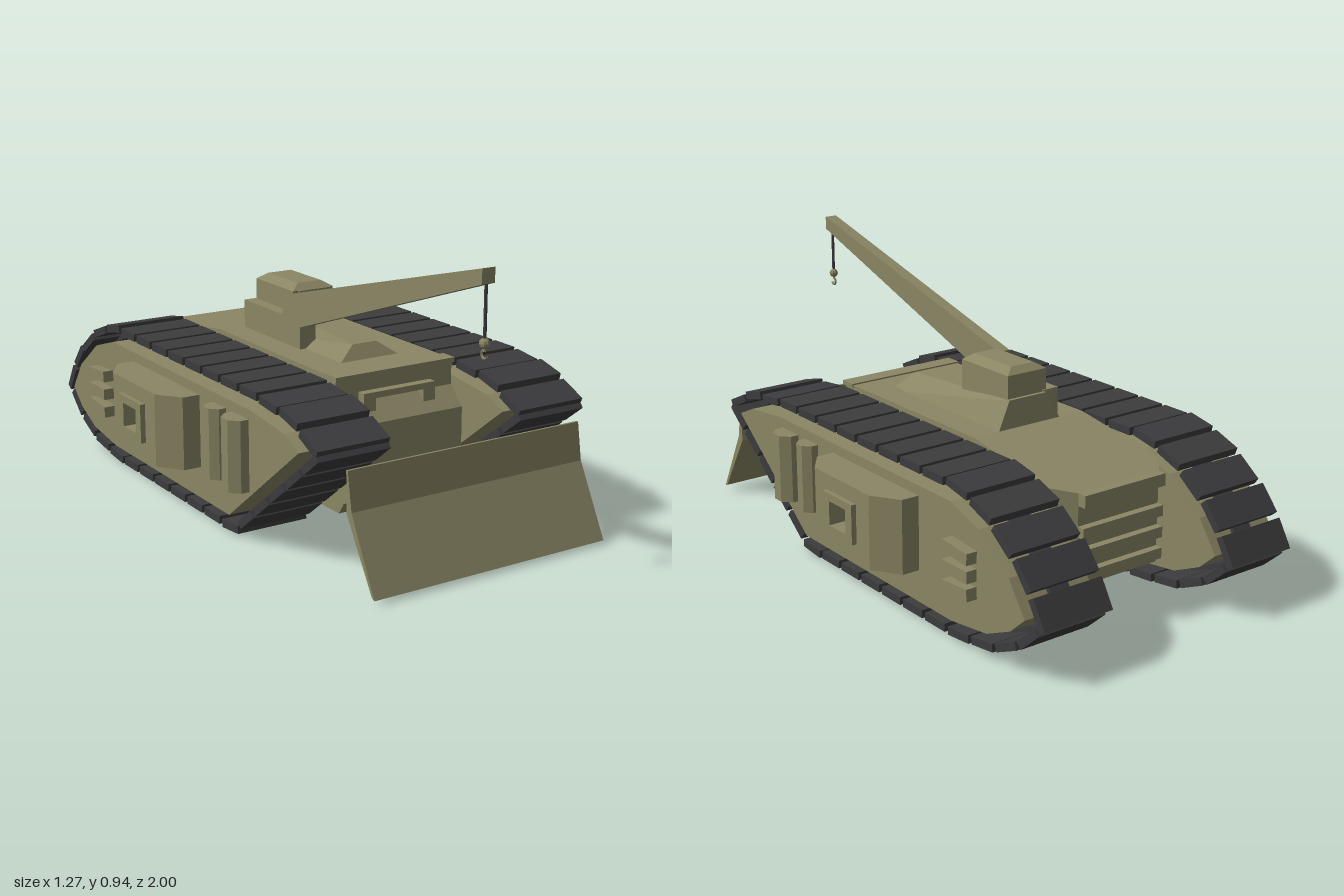
import * as THREE from 'three';

const material = (color) => new THREE.MeshStandardMaterial({ color, flatShading: true, side: THREE.DoubleSide });

export function createModel() {
  const root = new THREE.Group();
  const tan = material(0x8a8664), dark = material(0x3c3c3e);

  const add = (name, geometry, mat = tan, parent = root) => {
    const mesh = new THREE.Mesh(geometry, mat);
    mesh.name = name;
    parent.add(mesh);
    return mesh;
  };
  const shapeOf = (pts) => new THREE.Shape(pts.map((p) => new THREE.Vector2(...p)));
  const extrude = (shape, depth) => new THREE.ExtrudeGeometry(shape, { depth, bevelEnabled: false });
  // (z, y) profile extruded across x
  const across = (pts, xa, xb, hole) => {
    const shape = shapeOf(pts);
    if (hole) shape.holes.push(shapeOf(hole));
    return extrude(shape, Math.abs(xb - xa)).rotateY(-Math.PI / 2).translate(Math.max(xa, xb), 0, 0);
  };
  // (x, z) outline extruded upward
  const upward = (pts, y0, y1) =>
    extrude(shapeOf(pts.map(([x, z]) => [x, -z])), y1 - y0).rotateX(-Math.PI / 2).translate(0, y0, 0);
  const rect = (a0, b0, a1, b1) => [[a0, b0], [a1, b0], [a1, b1], [a0, b1]];
  const box = (x0, x1, y0, y1, z0, z1) =>
    new THREE.BoxGeometry(Math.abs(x1 - x0), y1 - y0, z1 - z0).translate((x0 + x1) / 2, (y0 + y1) / 2, (z0 + z1) / 2);
  // box whose eight corners are moved by a rule
  const warped = (rule) => {
    const g = new THREE.BoxGeometry(2, 2, 2), p = g.attributes.position;
    for (let i = 0; i < p.count; i++) p.setXYZ(i, ...rule(p.getX(i), p.getY(i), p.getZ(i)));
    return g;
  };
  // inward mitred offset of a closed polygon
  const inset = (pts, d) => pts.map((p, i) => {
    const n = pts.length;
    const a = new THREE.Vector2(...pts[(i + n - 1) % n]), b = new THREE.Vector2(...p), c = new THREE.Vector2(...pts[(i + 1) % n]);
    const u = b.clone().sub(a).normalize(), v = c.clone().sub(b).normalize();
    const n1 = new THREE.Vector2(u.y, -u.x), n2 = new THREE.Vector2(v.y, -v.x);
    const m = n1.clone().add(n2).multiplyScalar(d / (1 + n1.dot(n2)));
    return [b.x + m.x, b.y + m.y];
  });

  // central hull
  add('hull', across([[0.41, 0.505], [0.41, 0.42], [0.47, 0.36], [0.47, 0.13], [0.43, 0.075], [-0.6, 0.075],
    [-0.68, 0.11], [-0.68, 0.45], [-0.32, 0.505]], -0.22, 0.22));
  add('roofLip', box(-0.225, 0.225, 0.495, 0.51, 0.36, 0.42));
  add('hullRear', warped((x, y, z) => z > 0
    ? [x * 0.22, y > 0 ? 0.45 : 0.11, -0.68]
    : [x * 0.16, y > 0 ? 0.44 : 0.14, -0.745]));
  add('rearLip', box(-0.16, 0.16, 0.4, 0.44, -0.775, -0.73));
  for (const y of [0.16, 0.23, 0.3]) add('rearLedge', box(-0.16, 0.16, y, y + 0.035, -0.77, -0.73));

  // driver's vision frame
  const frame = shapeOf(rect(-0.135, 0.35, 0.135, 0.45));
  frame.holes.push(shapeOf(rect(-0.09, 0.36, 0.09, 0.43)));
  add('visionFrame', extrude(frame, 0.035).translate(0, 0, 0.405));

  // casemate and turret
  add('casemate', warped((x, y, z) => y < 0
    ? [x * 0.13, 0.49, z > 0 ? 0.28 : -0.32]
    : [x * (z > 0 ? 0.045 : 0.075), z > 0 ? 0.55 : 0.595, z > 0 ? 0.24 : -0.31]));
  add('turret', box(-0.085, 0.07, 0.57, 0.67, -0.295, -0.055));
  add('turretRoof', warped((x, y, z) => y < 0
    ? [-0.0075 + x * 0.0775, 0.67, -0.175 + z * 0.12]
    : [-0.0075 + x * 0.045, 0.69, -0.175 + z * 0.095]));
  const slot = shapeOf(rect(-0.065, 0.62, 0.055, 0.67));
  slot.holes.push(shapeOf(rect(-0.055, 0.628, 0.045, 0.662)));
  add('turretSlot', extrude(slot, 0.008).translate(0, 0, -0.057));

  // crane
  const crane = new THREE.Group();
  crane.name = 'crane';
  root.add(crane);
  add('boom', across([[1, 0.9], [1, 0.945], [-0.05, 0.665], [-0.05, 0.575], [0.05, 0.575]], -0.13, -0.085), tan, crane);
  add('craneMount', box(-0.13, -0.07, 0.5, 0.6, -0.3, 0.06), tan, crane);
  add('cable', new THREE.CylinderGeometry(0.005, 0.005, 0.18, 6).translate(-0.1075, 0.82, 0.99), dark, crane);
  add('hookBlock', new THREE.SphereGeometry(0.016, 8, 6).translate(-0.1075, 0.73, 0.99), tan, crane);
  add('hook', new THREE.TorusGeometry(0.012, 0.004, 6, 10, Math.PI * 1.4)
    .rotateZ(-Math.PI * 0.9).rotateY(Math.PI / 2).translate(-0.1075, 0.698, 0.99), tan, crane);
  add('hookShank', new THREE.CylinderGeometry(0.004, 0.004, 0.02, 6).translate(-0.1075, 0.716, 0.99), tan, crane);

  // dozer blade
  add('blade', across([[0.79, 0.36], [0.81, 0.24], [0.928, 0.015], [0.915, 0.02], [0.785, 0.23], [0.782, 0.36]], -0.425, 0.425));

  // track centre line, (z, y), clockwise from the front tip
  const path = [[0.735, 0.395], [0.25, 0.02], [-0.58, 0.02], [-0.76, 0.045], [-0.88, 0.1], [-0.98, 0.19],
    [-0.88, 0.33], [-0.73, 0.44], [-0.58, 0.487], [0.38, 0.487], [0.58, 0.465]];
  const inward = (d) => {
    const t = inset(path, d);
    return t[9][1] < path[9][1] ? t : inset(path, -d);
  };
  const loop = new THREE.CurvePath();
  path.forEach((p, i) => loop.add(new THREE.LineCurve(new THREE.Vector2(...p), new THREE.Vector2(...path[(i + 1) % path.length]))));
  const padCount = Math.round(loop.getLength() / 0.118);
  const padGeometry = new THREE.BoxGeometry(0.25, 0.026, 0.1);

  for (const s of [-1, 1]) {
    const side = new THREE.Group();
    side.name = s > 0 ? 'leftSide' : 'rightSide';
    root.add(side);

    add('trackFrame', across(inward(0.045), s * 0.24, s * 0.5), tan, side);
    add('trackBand', across(inward(0.022), s * 0.33, s * 0.4, inward(0.037)), dark, side);

    for (let i = 0; i < padCount; i++) {
      const u = (i + 0.5) / padCount, h = 0.35 / padCount;
      const a = loop.getPointAt(u - h), b = loop.getPointAt(u + h), c = loop.getPointAt(u);
      const pad = add('trackPad', padGeometry, dark, side);
      pad.position.set(s * 0.365, c.y, c.x);
      pad.rotation.x = -Math.atan2(b.y - a.y, b.x - a.x);
    }

    // sponson, with a window notch in the middle layer
    const back = [[0.49, -0.415], [0.56, -0.415], [0.618, -0.325]];
    const front = [[0.618, -0.025], [0.56, 0.055], [0.49, 0.055]];
    const notch = [[0.618, -0.22], [0.54, -0.22], [0.54, -0.13], [0.618, -0.13]];
    const flip = (pts) => pts.map(([x, z]) => [s * x, z]);
    add('sponsonBase', upward(flip([...back, ...front]), 0.17, 0.255), tan, side);
    add('sponsonMiddle', upward(flip([...back, ...notch, ...front]), 0.255, 0.335), tan, side);
    add('sponsonTop', upward(flip([...back, ...front]), 0.335, 0.41), tan, side);
    add('sponsonWindow', across(rect(-0.255, 0.23, -0.095, 0.36), s * 0.61, s * 0.635,
      rect(-0.22, 0.255, -0.13, 0.335)), tan, side);

    // upright side tanks
    for (const [z, r] of [[0.315, 0.053], [0.185, 0.043]])
      add('sideTank', new THREE.CylinderGeometry(r, r, 0.23, 8).rotateY(Math.PI / 8).translate(s * 0.508, 0.295, z), tan, side);

    // side vents
    for (const y of [0.195, 0.255, 0.315]) {
      const vent = add('sideVent', new THREE.BoxGeometry(0.05, 0.038, 0.12), tan, side);
      vent.position.set(s * 0.512, y, -0.64);
      vent.rotation.x = (y - 0.255) * -1.2;
    }

    // blade arm
    add('bladeArm', across([[0.8, 0.25], [0.72, 0.24], [0.45, 0.22], [0.45, 0.11], [0.55, 0.16], [0.8, 0.21]],
      s * 0.18, s * 0.225), tan, side);
  }
  return root;
}
